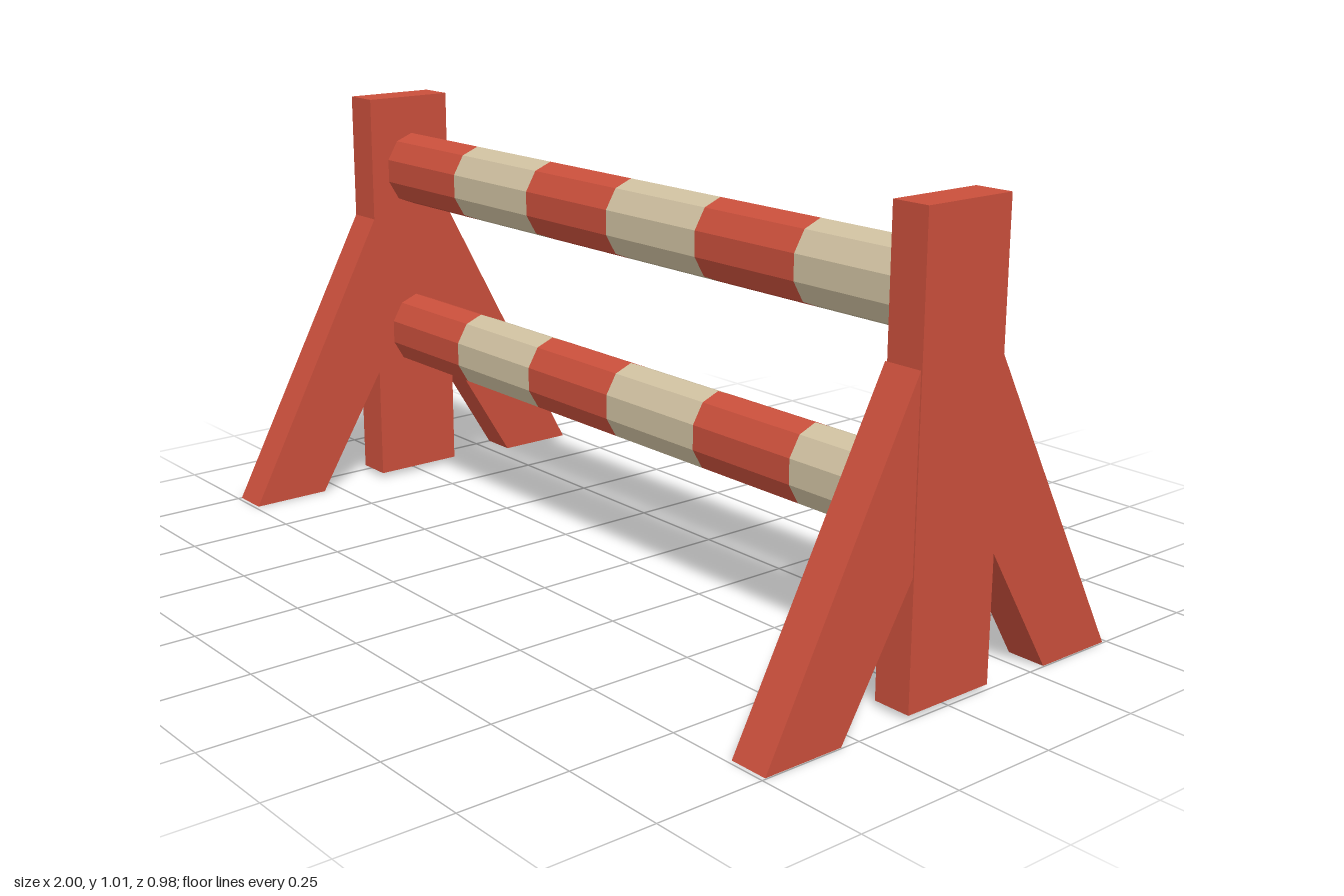
import * as THREE from 'three';

const red = new THREE.MeshStandardMaterial({ color: 0xc94f3b, flatShading: true });
const beige = new THREE.MeshStandardMaterial({ color: 0xcfc0a0, flatShading: true });

function addMesh(parent, name, geometry, material) {
  const mesh = new THREE.Mesh(geometry, material);
  mesh.name = name;
  parent.add(mesh);
  return mesh;
}

// Slanted brace: outline in the (z, y) plane, extruded along x; dir picks front or back
function legGeometry(dir, xMin, xMax) {
  const outline = [[0.49, 0], [0.115, 0.705], [0.115, 0.295], [0.295, 0]];
  const shape = new THREE.Shape(outline.map(([z, y]) => new THREE.Vector2(dir * z, y)));
  return new THREE.ExtrudeGeometry(shape, { depth: xMax - xMin, bevelEnabled: false })
    .rotateY(-Math.PI / 2)
    .translate(xMax, 0, 0);
}

// Upright post with a brace at the front and the back
function createStand(name, postX, legX) {
  const stand = new THREE.Group();
  stand.name = name;
  const post = new THREE.BoxGeometry(postX[1] - postX[0], 1.003, 0.23);
  addMesh(stand, 'post', post, red).position.set((postX[0] + postX[1]) / 2, 0.5135, 0);
  addMesh(stand, 'frontLeg', legGeometry(1, ...legX), red);
  addMesh(stand, 'backLeg', legGeometry(-1, ...legX), red);
  return stand;
}

// Ten-sided, slightly flattened pole made of six alternating stripes
function createPole(name, y) {
  const pole = new THREE.Group();
  pole.name = name;
  const start = -0.91, end = 0.906, count = 6;
  const step = (end - start) / count;
  for (let i = 0; i < count; i++) {
    const inner = i > 0 && i < count - 1;
    const geometry = new THREE.CylinderGeometry(1, 1, step, 10, 1, inner, Math.PI / 2)
      .rotateZ(Math.PI / 2)
      .scale(1, 0.0925, 0.076);
    addMesh(pole, 'stripe' + (i + 1), geometry, i % 2 ? beige : red)
      .position.x = start + (i + 0.5) * step;
  }
  pole.position.set(0, y, -0.006);
  return pole;
}

export function createModel() {
  const model = new THREE.Group();
  model.name = 'jumpingHurdle';
  model.add(
    createStand('rightStand', [-1, -0.91], [-1, -0.91]),
    createStand('leftStand', [0.911, 1], [0.906, 0.997]),
    createPole('upperPole', 0.827),
    createPole('lowerPole', 0.397),
  );
  return model;
}
